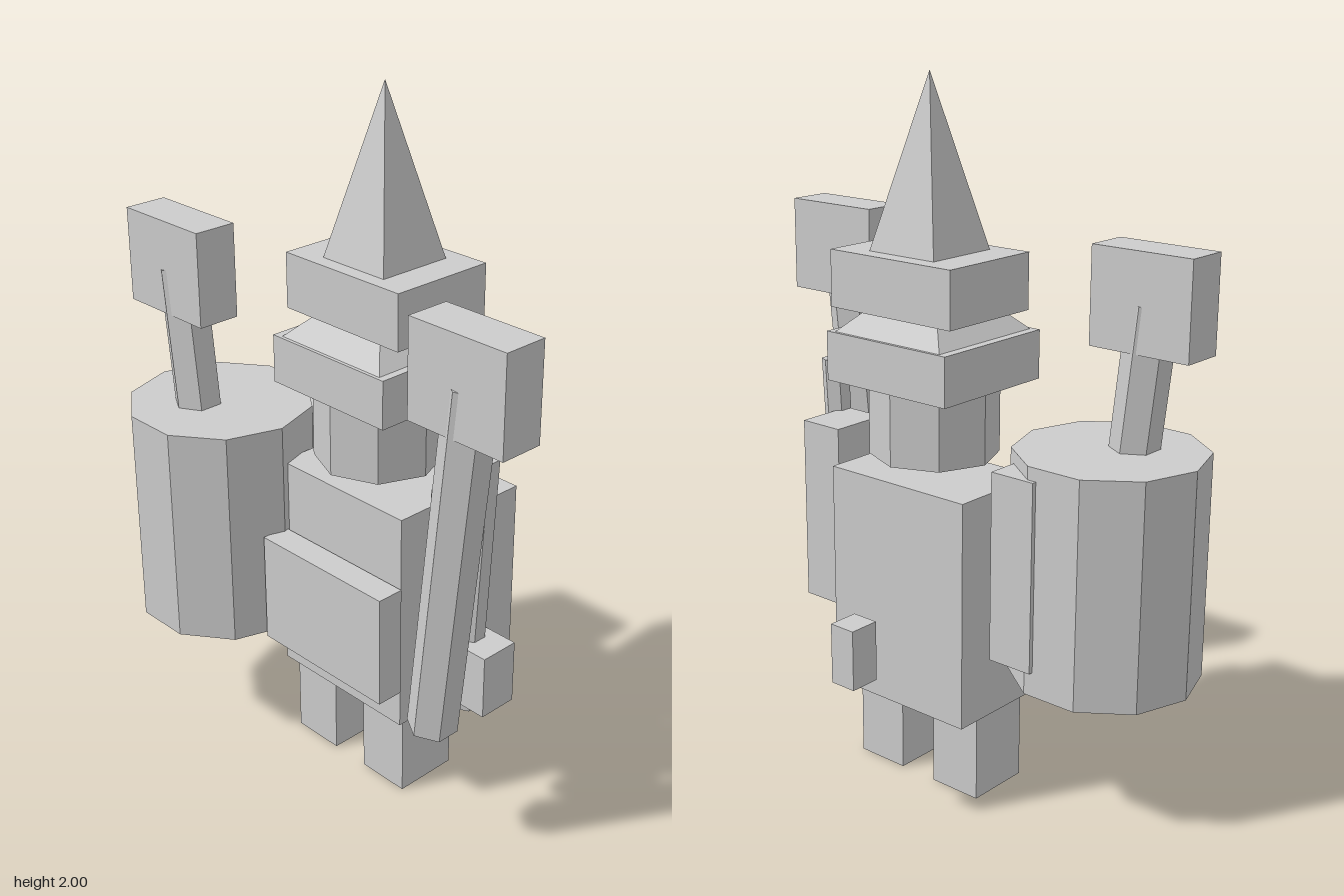
import * as THREE from 'three';

const lightGrey = new THREE.MeshStandardMaterial({ color: 0xcccccc });

// Keep every face flat, including cylinder sides
function part(name, geometry) {
  const flat = geometry.index ? geometry.toNonIndexed() : geometry;
  flat.computeVertexNormals();
  const mesh = new THREE.Mesh(flat, lightGrey);
  mesh.name = name;
  return mesh;
}

// Box given by its limits on each axis
function box(name, [x0, x1], [y0, y1], [z0, z1]) {
  const mesh = part(name, new THREE.BoxGeometry(x1 - x0, y1 - y0, z1 - z0));
  mesh.position.set((x0 + x1) / 2, (y0 + y1) / 2, (z0 + z1) / 2);
  return mesh;
}

// Upright prism or frustum between two heights
function prism(name, sides, rTop, rBottom, y0, y1, x, z, turn = 0) {
  const mesh = part(name, new THREE.CylinderGeometry(rTop, rBottom, y1 - y0, sides, 1, false, turn));
  mesh.position.set(x, (y0 + y1) / 2, z);
  return mesh;
}

// Six-sided rod leaning in the xy plane
function rod(name, r, [x0, y0], [x1, y1], z) {
  const dx = x1 - x0, dy = y1 - y0;
  const mesh = part(name, new THREE.CylinderGeometry(r, r, Math.hypot(dx, dy), 6));
  mesh.position.set((x0 + x1) / 2, (y0 + y1) / 2, z);
  mesh.rotation.z = -Math.atan2(dx, dy);
  return mesh;
}

export function createModel() {
  const model = new THREE.Group();
  model.name = 'drummer';
  const diag = Math.SQRT2;

  // Body
  model.add(
    box('torso', [-0.222, 0.255], [0.255, 0.91], [-0.162, 0.147]),
    box('apron', [-0.205, 0.265], [0.375, 0.705], [0.155, 0.236]),
    box('rightLeg', [-0.208, -0.047], [0, 0.255], [-0.08, 0.113]),
    box('leftLeg', [0.072, 0.233], [0, 0.255], [-0.08, 0.113]),
    box('rightArm', [-0.402, -0.265], [0.455, 0.993], [-0.097, 0.08]),
    box('leftArm', [0.297, 0.435], [0.455, 0.993], [-0.097, 0.08]),
    box('leftHand', [0.39, 0.54], [0.42, 0.602], [0.005, 0.122]),
    box('tail', [-0.077, 0.002], [0.425, 0.595], [-0.432, -0.343]),
  );

  // Head and stacked hat
  model.add(
    prism('head', 8, 0.18, 0.18, 0.965, 1.175, 0.015, -0.003),
    box('hatBrim', [-0.197, 0.224], [1.175, 1.312], [-0.205, 0.186]),
    prism('hatSlope', 4, 0.122 * diag, 0.186 * diag, 1.312, 1.375, 0.015, -0.01, Math.PI / 4),
    box('hatBand', [-0.197, 0.224], [1.375, 1.532], [-0.185, 0.134]),
    prism('hatPoint', 4, 0, 0.113 * diag, 1.532, 2, 0.015, -0.022, Math.PI / 4),
  );

  // Drum
  model.add(prism('drum', 10, 0.267, 0.267, 0.385, 1.03, -0.457, 0.17, Math.PI / 2));

  // Two mallets
  model.add(
    box('rightMalletHead', [-0.688, -0.38], [1.303, 1.573], [0.16, 0.287]),
    rod('rightMalletHandle', 0.069, [-0.425, 0.405], [-0.535, 1.43], 0.225),
    box('leftMalletHead', [0.412, 0.72], [1.303, 1.573], [0.16, 0.287]),
    rod('leftMalletHandle', 0.069, [0.455, 0.403], [0.565, 1.43], 0.225),
  );

  // Thin stick held in the left hand
  model.add(rod('stick', 0.04, [0.42, 0.376], [0.463, 1.143], 0.062));

  return model;
}
